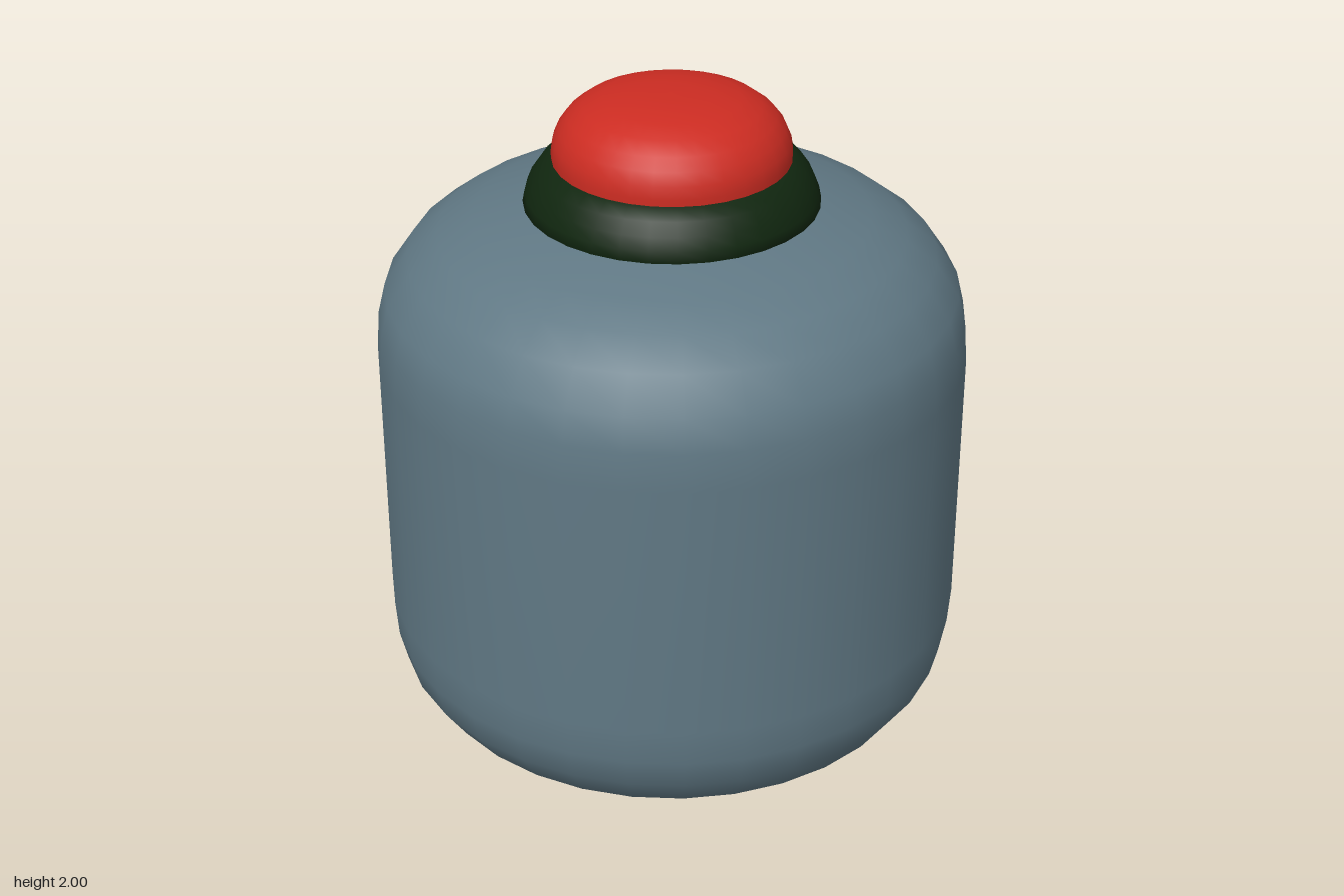
import * as THREE from 'three';

const SIDES = 32;

// Smooth turned part from a bottom-to-top list of [radius, height]
function turned(name, profile, color) {
  const points = profile.map(([r, y]) => new THREE.Vector2(r, y));
  const mesh = new THREE.Mesh(
    new THREE.LatheGeometry(points, SIDES),
    new THREE.MeshStandardMaterial({ color, side: THREE.DoubleSide })
  );
  mesh.name = name;
  return mesh;
}

export function createModel() {
  const group = new THREE.Group();
  group.name = 'pushButton';

  // Drum body: the rounded shoulder is mirrored to make the underside
  const bodyHeight = 1.72;
  const shoulder = [
    [0.83, 0.48], [0.822, 0.37], [0.8, 0.28], [0.735, 0.185], [0.65, 0.12],
    [0.55, 0.075], [0.41, 0.036], [0.3, 0.018], [0.16, 0.005], [0, 0],
  ];
  const lower = [...shoulder].reverse();
  const upper = shoulder.map(([r, y]) => [r, bodyHeight - y]);
  group.add(turned('body', [...lower, ...upper], 0x607884));

  // Dark collar sitting on the body
  group.add(turned('collar', [
    [0.39, 1.675], [0.41, 1.685], [0.404, 1.715], [0.39, 1.75],
    [0.366, 1.785], [0.335, 1.81], [0.3, 1.818],
  ], 0x10260f));

  // Red domed button
  group.add(turned('button', [
    [0.328, 1.79], [0.33, 1.83], [0.325, 1.865], [0.31, 1.9], [0.285, 1.932],
    [0.245, 1.962], [0.19, 1.983], [0.12, 1.995], [0.06, 1.999], [0, 2],
  ], 0xcc2c22));

  return group;
}
